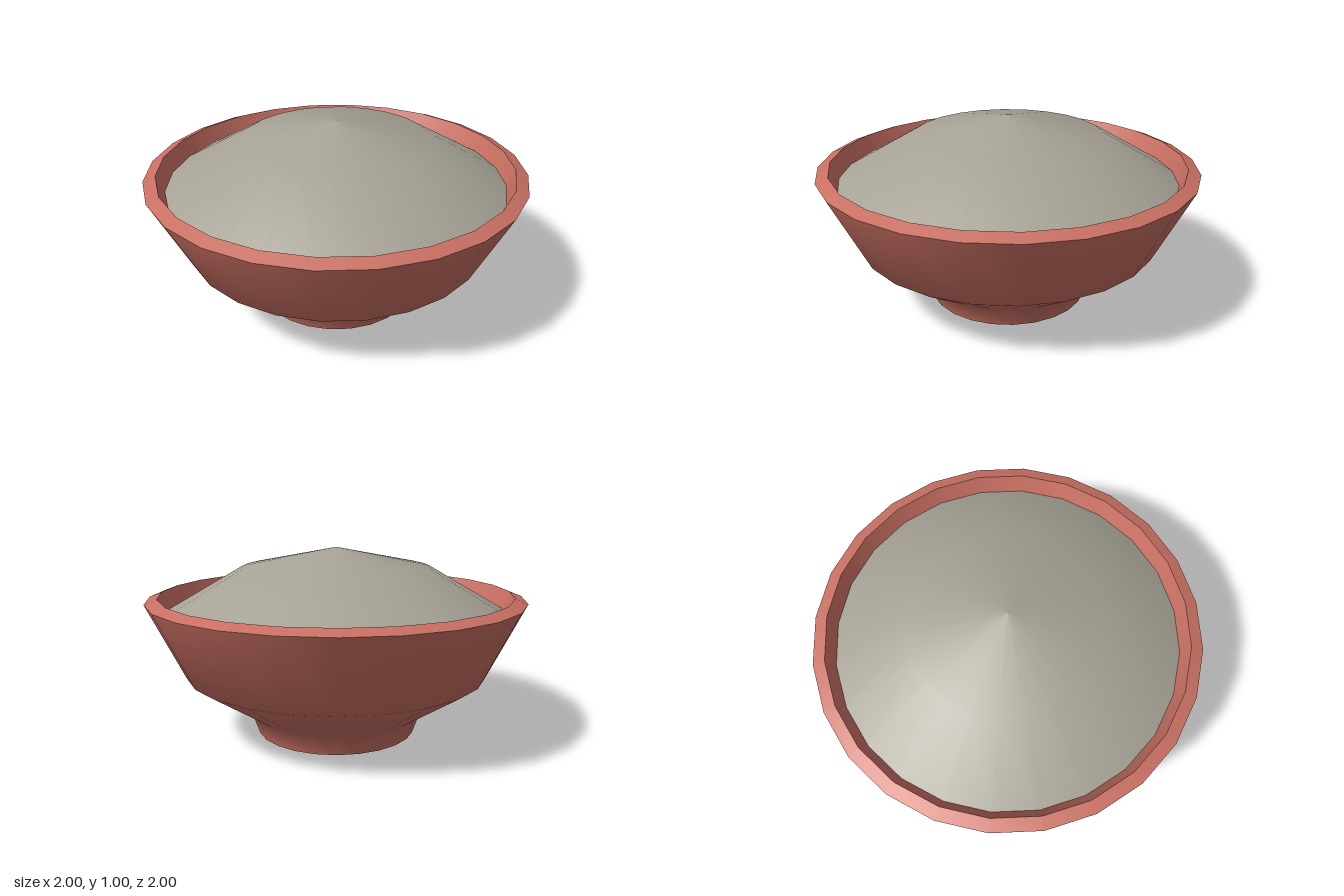
import * as THREE from 'three';

const SEGMENTS = 24;

export function createModel() {
  const clay = new THREE.MeshStandardMaterial({ color: 0xc97063 });
  clay.name = 'red clay';
  const grain = new THREE.MeshStandardMaterial({ color: 0xa6a295 });
  grain.name = 'warm grey';

  const bowl = new THREE.Group();
  bowl.name = 'filledBowl';

  // Turns a [radius, height] profile; separate profiles keep hard edges between them
  const turn = (name, material, profile) => {
    const points = profile.map(([r, y]) => new THREE.Vector2(r, y));
    const mesh = new THREE.Mesh(new THREE.LatheGeometry(points, SEGMENTS), material);
    mesh.name = name;
    bowl.add(mesh);
  };

  // Bowl shell: underside, foot and outer wall, rim, inner wall
  turn('footBase', clay, [[0, 0], [0.43, 0]]);
  turn('outerWall', clay, [[0.43, 0], [0.468, 0.112], [0.805, 0.335], [1, 0.735]]);
  turn('rim', clay, [[1, 0.735], [0.935, 0.76]]);
  turn('innerWall', clay, [[0.935, 0.76], [0.89, 0.655]]);

  // Heaped contents, rising to a soft peak
  turn('contents', grain, [[0.9, 0.667], [0.5, 0.9], [0, 1]]);

  return bowl;
}
